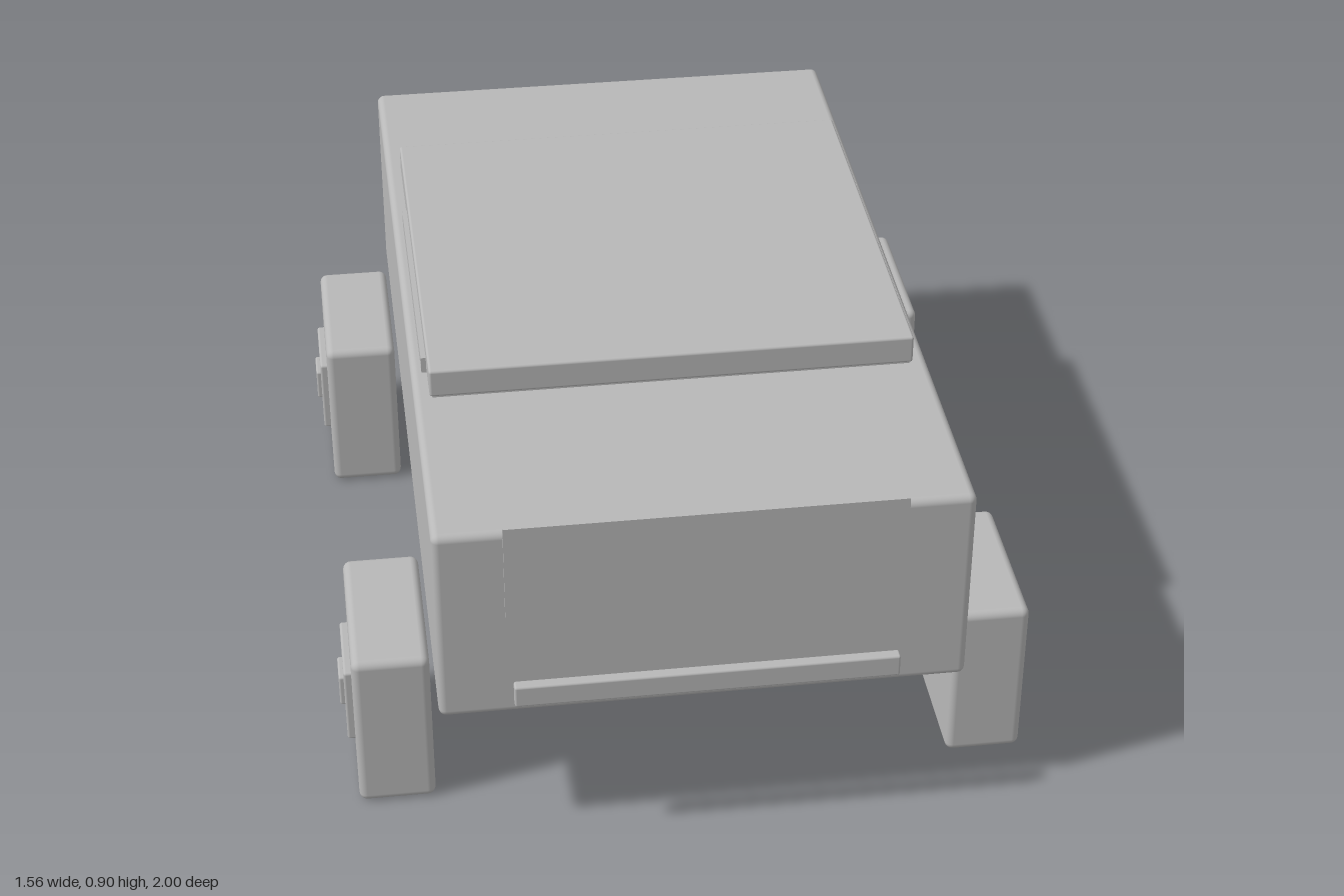
import * as THREE from 'three';
import { RoundedBoxGeometry } from 'three/addons/geometries/RoundedBoxGeometry.js';

export function createModel() {
  const model = new THREE.Group();
  model.name = 'vehicle';
  const grey = new THREE.MeshStandardMaterial({ color: 0xb8b8b8 });
  grey.name = 'plain grey';

  // Box given by its extents on each axis; a bevel rounds its edges
  function block(name, [x0, x1], [y0, y1], [z0, z1], bevel = 0, parent = model) {
    const size = [x1 - x0, y1 - y0, z1 - z0];
    const geometry = bevel > 0
      ? new RoundedBoxGeometry(...size, 3, bevel)
      : new THREE.BoxGeometry(...size);
    const mesh = new THREE.Mesh(geometry, grey);
    mesh.name = name;
    mesh.position.set((x0 + x1) / 2, (y0 + y1) / 2, (z0 + z1) / 2);
    parent.add(mesh);
    return mesh;
  }

  // Body, chassis and roof
  block('body', [-0.571, 0.571], [0.352, 0.828], [-0.984, 0.942], 0.017);
  block('chassis', [-0.526, 0.526], [0.303, 0.37], [-0.892, 0.852], 0.004);
  block('roof', [-0.536, 0.536], [0.834, 0.9], [-0.573, 0.434], 0.006);
  block('roofCore', [-0.53, 0.53], [0.82, 0.84], [-0.565, 0.426]);

  // Front panel, bumper and rear handle
  block('frontPanel', [-0.424, 0.424], [0.618, 0.848], [0.948, 0.957]);
  block('frontBumper', [-0.413, 0.413], [0.413, 0.465], [0.974, 1], 0.005);
  block('rearHandle', [-0.055, 0.055], [0.566, 0.594], [-1, -0.975], 0.004);

  for (const side of [-1, 1]) {
    // Strip along each side of the roof
    const strip = block('sideStrip', [-0.006, 0.006], [0.8, 0.866], [-0.32, 0.325]);
    strip.position.x = side * 0.541;

    // Blocky wheels with stepped hubs on the outer face
    for (const [label, z] of [['front', 0.598], ['rear', -0.643]]) {
      const wheel = new THREE.Group();
      wheel.name = label + (side > 0 ? 'LeftWheel' : 'RightWheel');
      wheel.position.set(0, 0.198, z);
      if (side < 0) wheel.rotation.y = Math.PI;
      block('tyre', [0.58, 0.75], [-0.195, 0.195], [-0.194, 0.194], 0.018, wheel);
      block('hub', [0.72, 0.767], [-0.094, 0.094], [-0.094, 0.094], 0.006, wheel);
      block('hubCap', [0.74, 0.778], [-0.039, 0.039], [-0.039, 0.039], 0.005, wheel);
      model.add(wheel);
    }
  }
  return model;
}
